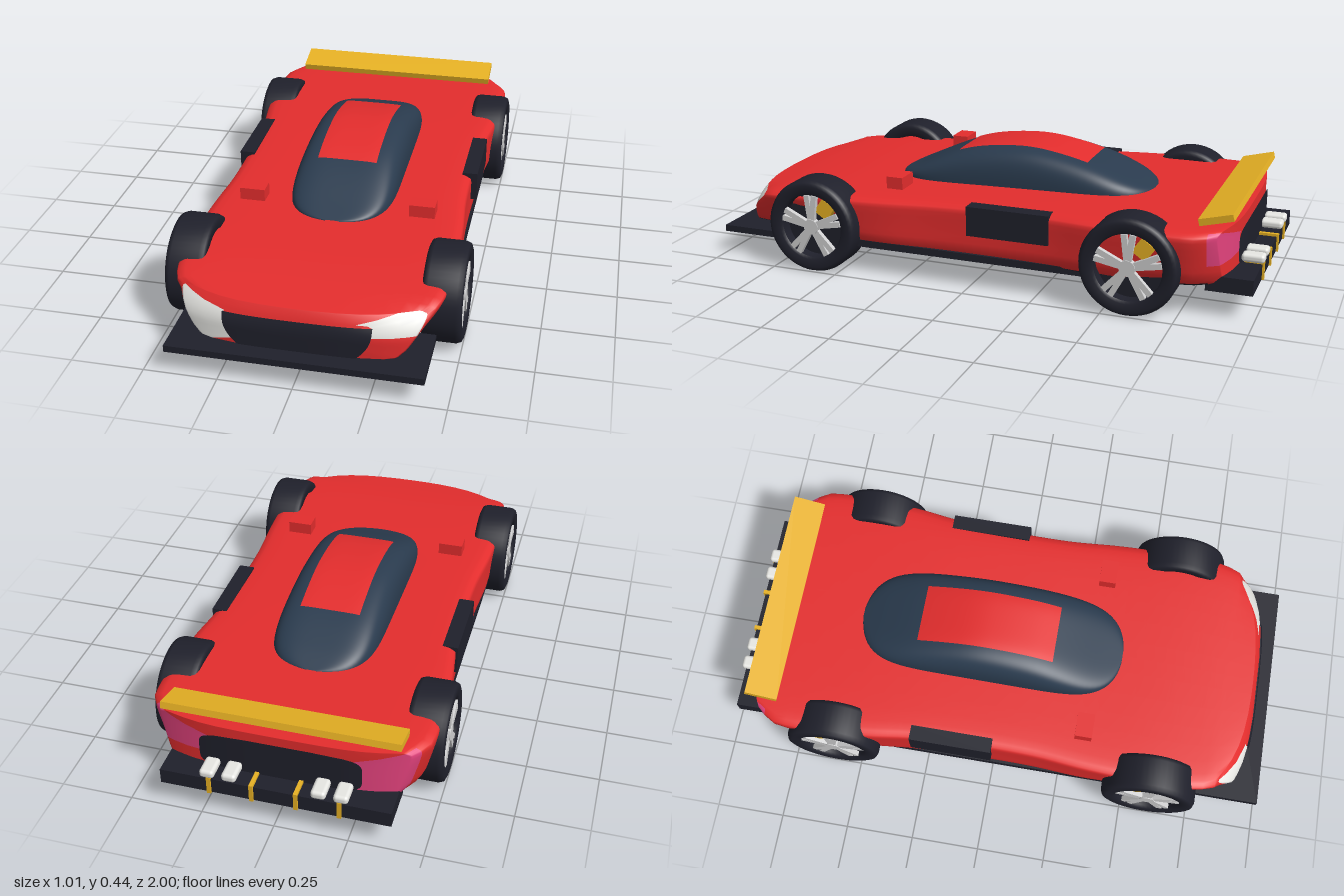
import * as THREE from 'three';
import { RoundedBoxGeometry } from 'three/addons/geometries/RoundedBoxGeometry.js';

const mat = (name, color, side = THREE.FrontSide) => {
  const m = new THREE.MeshStandardMaterial({ color, side });
  m.name = name;
  return m;
};
const red = mat('red paint', 0xe42d2d);
const black = mat('black', 0x1f202b);
const glass = mat('navy glass', 0x2a3b4e, THREE.DoubleSide);
const gold = mat('gold', 0xe8b224);
const white = mat('white', 0xeeeeea);
const silver = mat('silver', 0xd0d0d1);
const pink = mat('pink lamp', 0xe2427c);

// Smooth interpolation through [position, value] pairs in rising order
function along(table) {
  const slope = (i) => {
    const a = table[Math.max(i - 1, 0)], b = table[Math.min(i + 1, table.length - 1)];
    return (b[1] - a[1]) / (b[0] - a[0]);
  };
  return (z) => {
    let i = 0;
    while (i < table.length - 2 && z > table[i + 1][0]) i++;
    const [z0, v0] = table[i], [z1, v1] = table[i + 1];
    const d = z1 - z0, t = Math.min(Math.max((z - z0) / d, 0), 1), q = 1 - t;
    return v0 * (1 + 2 * t) * q * q + slope(i) * d * t * q * q
      + v1 * t * t * (3 - 2 * t) - slope(i + 1) * d * t * t * q;
  };
}

// Skin over rows of points; pick(i, j) chooses the material of each quad
function loft(rows, closed = false, pick = () => 0) {
  const n = rows[0].length, lists = [];
  for (let i = 0; i < rows.length - 1; i++) {
    for (let j = 0; j < (closed ? n : n - 1); j++) {
      const k = (j + 1) % n;
      const a = i * n + j, b = i * n + k, c = b + n, d = a + n;
      (lists[pick(i, j)] ??= []).push(a, b, d, b, c, d);
    }
  }
  const geo = new THREE.BufferGeometry();
  geo.setAttribute('position', new THREE.Float32BufferAttribute(rows.flat(2), 3));
  geo.setIndex(lists.flat());
  let start = 0;
  lists.forEach((l, m) => { geo.addGroup(start, l.length, m); start += l.length; });
  geo.computeVertexNormals();
  return geo;
}

// Grid plate from a function of u, v in 0..1
function plate(fn, nu = 20, nv = 12) {
  const rows = [];
  for (let i = 0; i <= nv; i++) {
    rows.push(Array.from({ length: nu + 1 }, (_, j) => fn(j / nu, i / nv)));
  }
  return loft(rows);
}

function add(parent, name, geo, material, x = 0, y = 0, z = 0) {
  const m = new THREE.Mesh(geo, material);
  m.name = name;
  m.position.set(x, y, z);
  parent.add(m);
  return m;
}
const box = (w, h, d) => new THREE.BoxGeometry(w, h, d);

// Body rules: half width, top line, lower flank fullness, curved nose and tail faces
const bodyW = along([[-0.87, 0.425], [-0.8, 0.472], [-0.6, 0.475], [-0.45, 0.465], [-0.3, 0.445],
  [-0.1, 0.432], [0.15, 0.432], [0.35, 0.448], [0.55, 0.455], [0.75, 0.45], [0.88, 0.405]]);
const bodyTop = along([[-0.9, 0.31], [-0.4, 0.31], [0, 0.302], [0.3, 0.293], [0.6, 0.284],
  [0.8, 0.268], [0.88, 0.252]]);
const fullness = along([[-0.87, 0.1], [-0.5, 0.2], [0, 0.25], [0.45, 0.2], [0.75, 0]]);
const BOTTOM = 0.108;
const noseZ = (x, y) => 0.94 - 0.06 * (x / 0.4) ** 4
  - (0.018 + 0.027 * (x / 0.4) ** 2) * (Math.max(0, y - 0.17) / 0.07) ** 2;
const tailZ = (x) => -0.92 + 0.055 * (x / 0.43) ** 4;

function bodyGeometry() {
  const half = new THREE.SplineCurve([[0, 0], [0.7, 0], [0.83, 0.12], [0.91, 0.4], [0.995, 0.83],
    [0.975, 0.94], [0.88, 0.99], [0.5, 1], [0, 1]].map((p) => new THREE.Vector2(...p))).getPoints(24);
  const outline = [...half, ...half.slice(1, -1).reverse().map((p) => new THREE.Vector2(-p.x, p.y))];
  const section = (z) => outline.map((p) => [
    p.x * bodyW(z) * (1 + fullness(z) * Math.max(0, 1 - p.y) ** 1.6),
    BOTTOM + p.y * (bodyTop(z) - BOTTOM), z]);
  const cap = (z, s, cy, rule) => section(z).map(([x, y]) => {
    const px = x * s, py = cy + (y - cy) * s;
    return [px, py, rule(px, py)];
  });
  const scales = [0, 0.3, 0.6, 0.8, 0.93, 0.985, 1];
  const rows = scales.map((s) => cap(-0.87, s, 0.2, tailZ));
  for (let z = -0.84; z < 0.83; z += 0.0415) rows.push(section(z));
  const front = rows.length;
  rows.push(...scales.reverse().map((s) => cap(0.88, s, 0.18, noseZ)));
  // Bands of the skin: 1 = tail lamps, 2 = headlamps, 3 = black underside
  return loft(rows, true, (i, j) => {
    const right = j < 24, k = right ? j : 47 - j;
    if (i >= 2 && i <= 6 && k < 16 && k >= (right ? 9 : 3)) return 1;
    if (i >= front && i < front + 4 && k < (right ? 19 : 15) && k >= (right ? 10 : 3)) return 2;
    if (i >= 7 && i < front && k < (right ? 5 : Math.min(5, (i - 28) / 3))) return 3;
    return 0;
  });
}

// Canopy rules: height line, plan width and boxy cross-section
const CANOPY_BASE = 0.287;
const canopyH = along([[-0.56, 0.025], [-0.47, 0.066], [-0.34, 0.113], [-0.18, 0.148], [-0.07, 0.155],
  [0.08, 0.139], [0.19, 0.107], [0.36, 0.032], [0.42, 0.006]]);
const canopyW = (z) => 0.19 * Math.max(0, 1 - Math.abs((z + 0.07) / 0.491) ** 6) ** 0.45;
const canopyY = (x, z) => CANOPY_BASE + canopyH(z) * Math.cbrt(Math.max(0, 1 - Math.abs(x / canopyW(z)) ** 5));

function buildWheel(s, z) {
  const wheel = new THREE.Group();
  wheel.name = 'wheel';
  wheel.position.set(s * 0.435, 0.173, z);
  const profile = [[0.118, -0.055], [0.126, -0.066], [0.154, -0.068], [0.166, -0.063], [0.172, -0.048],
    [0.172, 0.048], [0.166, 0.063], [0.154, 0.068], [0.126, 0.066], [0.118, 0.055], [0.118, -0.055]];
  const tyre = new THREE.LatheGeometry(profile.map((p) => new THREE.Vector2(...p)), 48);
  add(wheel, 'tyre', tyre, black).rotation.z = Math.PI / 2;
  add(wheel, 'brakeDisc', new THREE.CylinderGeometry(0.12, 0.12, 0.01, 32), black, s * 0.01)
    .rotation.z = Math.PI / 2;
  add(wheel, 'brakeCaliper', box(0.044, 0.06, 0.058), gold, s * 0.026, 0.066, -0.05).rotation.x = -0.6;
  add(wheel, 'hub', new THREE.CylinderGeometry(0.028, 0.028, 0.024, 20), silver, s * 0.052)
    .rotation.z = Math.PI / 2;
  // Five twin-legged spokes, one pointing up
  for (let i = 0; i < 5; i++) {
    for (const leg of [-0.13, 0.13]) {
      const a = Math.PI / 2 + i * Math.PI * 0.4 + leg;
      const geo = box(0.018, 0.02, 0.1).translate(0, 0, 0.068);
      add(wheel, 'spoke', geo, silver, s * 0.052).rotation.x = -a;
    }
  }
  return wheel;
}

export function createModel() {
  const car = new THREE.Group();
  car.name = 'raceCar';

  add(car, 'body', bodyGeometry(), [red, pink, white, black]);

  // Canopy and roof panel
  const rows = [];
  for (let i = 0; i <= 48; i++) {
    const z = -0.07 - 0.49 * Math.cos((i / 48) * Math.PI);
    const w = canopyW(z);
    rows.push(Array.from({ length: 65 }, (_, j) => {
      const c = Math.cos((j / 64) * Math.PI);
      const x = w * Math.sign(c) * Math.abs(c) ** 0.8;
      return [x, canopyY(x, z), z];
    }));
  }
  add(car, 'canopy', loft(rows), glass);
  add(car, 'roofPanel', plate((u, v) => {
    const x = 0.108 * (1 - 2 * u), z = -0.33 + 0.5 * v;
    return [x, canopyY(x, z) + 0.003, z];
  }, 16, 30), red);

  // Grille and rear panel follow the end faces
  add(car, 'grille', plate((u, v) => {
    const x = (0.245 - 0.05 * (1 - v) ** 2.5) * (2 * u - 1), y = 0.11 + 0.108 * v;
    return [x, y, noseZ(x, y) + 0.006];
  }), black);
  add(car, 'rearPanel', plate((u, v) => {
    const w = 0.275 * (1 - 0.98 * Math.abs(2 * v - 1) ** 5) ** 0.25;
    const x = w * (1 - 2 * u);
    return [x, 0.135 + 0.145 * v, tailZ(x) - 0.006];
  }, 20, 24), black);

  // Splitter and diffuser
  add(car, 'splitter', box(0.85, 0.024, 0.24), black, 0, 0.096, 0.88);
  add(car, 'diffuser', box(0.78, 0.055, 0.16), black, 0, 0.118, -0.91);

  // Rear wing
  add(car, 'rearWing', box(0.8, 0.024, 0.118), gold, 0, 0.342, -0.858).rotation.x = 0.25;

  for (const s of [1, -1]) {
    add(car, 'sideSkirt', box(0.04, 0.026, 1.0), black, s * 0.42, 0.113, 0);
    add(car, 'sideIntake', box(0.055, 0.106, 0.3), black, s * 0.428, 0.253, -0.15);
    add(car, 'mirror', box(0.09, 0.044, 0.062), red, s * 0.305, 0.325, 0.322);
    for (const x of [0.15, 0.225]) {
      add(car, 'exhaust', new RoundedBoxGeometry(0.05, 0.03, 0.08, 3, 0.012), white, s * x, 0.168, -0.96);
    }
    for (const x of [0.075, 0.22]) {
      add(car, 'diffuserFin', box(0.014, 0.066, 0.07), gold, s * x, 0.122, -0.962);
    }
    for (const z of [0.59, -0.59]) car.add(buildWheel(s, z));
  }
  return car;
}
